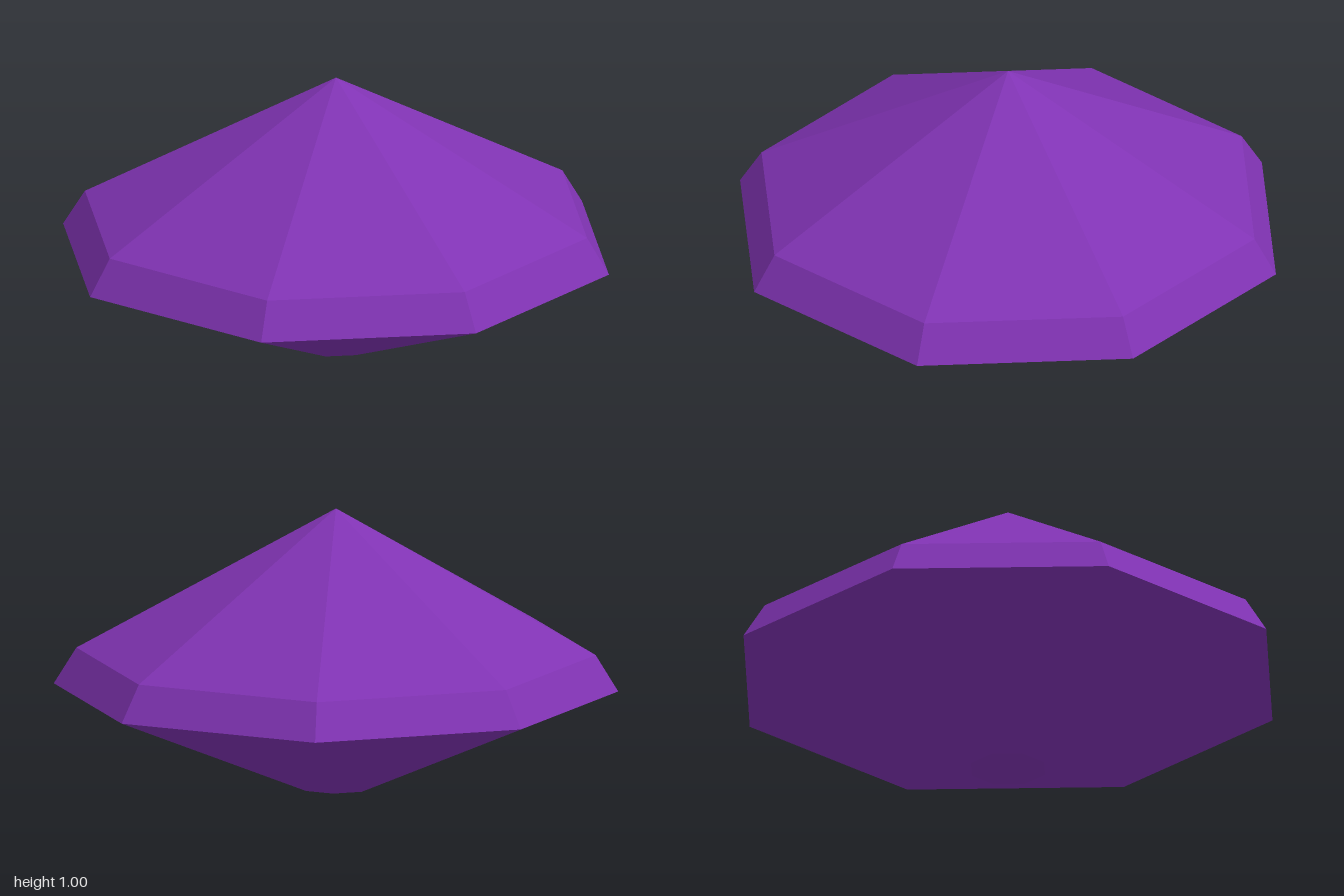
import * as THREE from 'three';

const SIDES = 8;

export function createModel() {
  const gem = new THREE.Group();
  gem.name = 'gem';
  const material = new THREE.MeshStandardMaterial({ color: 0x8033b3, flatShading: true });

  const add = (name, geometry, y) => {
    const mesh = new THREE.Mesh(geometry, material);
    mesh.name = name;
    mesh.position.y = y;
    gem.add(mesh);
    return mesh;
  };

  // One faceted ring between two heights
  const ring = (name, rBottom, yBottom, rTop, yTop) =>
    add(name, new THREE.CylinderGeometry(rTop, rBottom, yTop - yBottom, SIDES, 1, true), (yBottom + yTop) / 2);

  // Small flat facet at the base, facing down
  add('culet', new THREE.CircleGeometry(0.14, SIDES).rotateX(Math.PI / 2), 0);
  // Wide lower facets flaring out to the rim
  ring('pavilion', 0.14, 0, 1, 0.355);
  // Narrow bevel above the rim
  ring('girdleBevel', 1, 0.355, 0.92, 0.485);
  // Pointed upper facets
  add('crown', new THREE.ConeGeometry(0.92, 0.515, SIDES, 1, true), 0.485 + 0.515 / 2);

  return gem;
}
